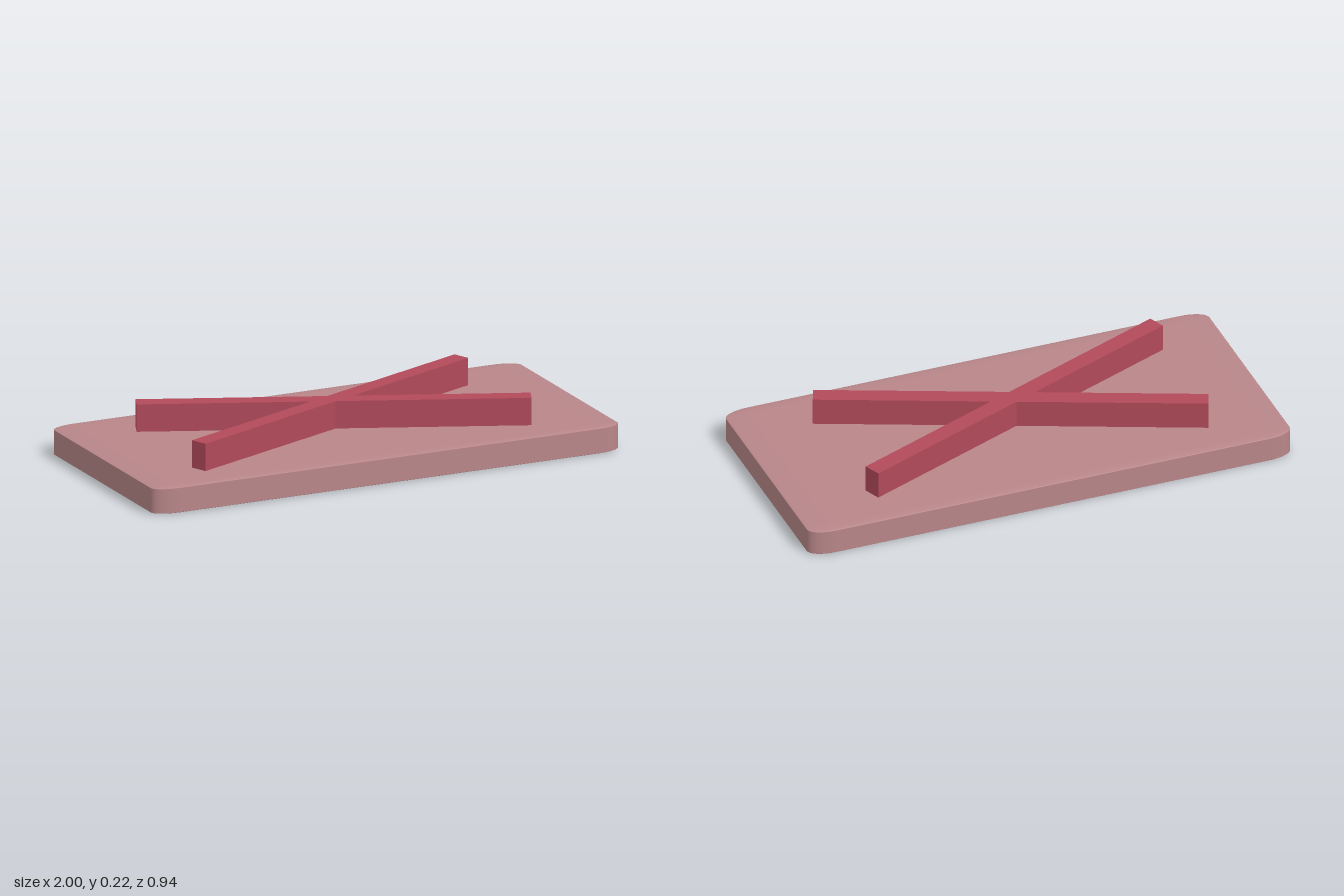
import * as THREE from 'three';
import { RoundedBoxGeometry } from 'three/addons/geometries/RoundedBoxGeometry.js';

export function createModel() {
  const model = new THREE.Group();
  model.name = 'crossedPlate';
  const plateMaterial = new THREE.MeshStandardMaterial({ color: 0xb88689 });
  const barMaterial = new THREE.MeshStandardMaterial({ color: 0xb24a5b });

  // Plate: a rounded cube squashed flat, so its rounding is stretched along x
  const plateHeight = 0.108;
  const plateGeometry = new RoundedBoxGeometry(1, 1, 1, 6, 0.052);
  plateGeometry.scale(2, plateHeight, 0.945);
  const plate = new THREE.Mesh(plateGeometry, plateMaterial);
  plate.name = 'plate';
  plate.position.y = plateHeight / 2;
  model.add(plate);

  // Two crossed bars standing on the plate, slightly off centre
  const barBottom = 0.1, barTop = 0.218;
  const barGeometry = new THREE.BoxGeometry(1.524, barTop - barBottom, 0.07);
  const addBar = (name, x, angle) => {
    const bar = new THREE.Mesh(barGeometry, barMaterial);
    bar.name = name;
    bar.position.set(x, (barTop + barBottom) / 2, 0.005);
    bar.rotation.y = angle;
    model.add(bar);
  };
  const tilt = THREE.MathUtils.degToRad(22.55);
  addBar('risingBar', -0.028, tilt);
  addBar('fallingBar', -0.013, -tilt);

  return model;
}
